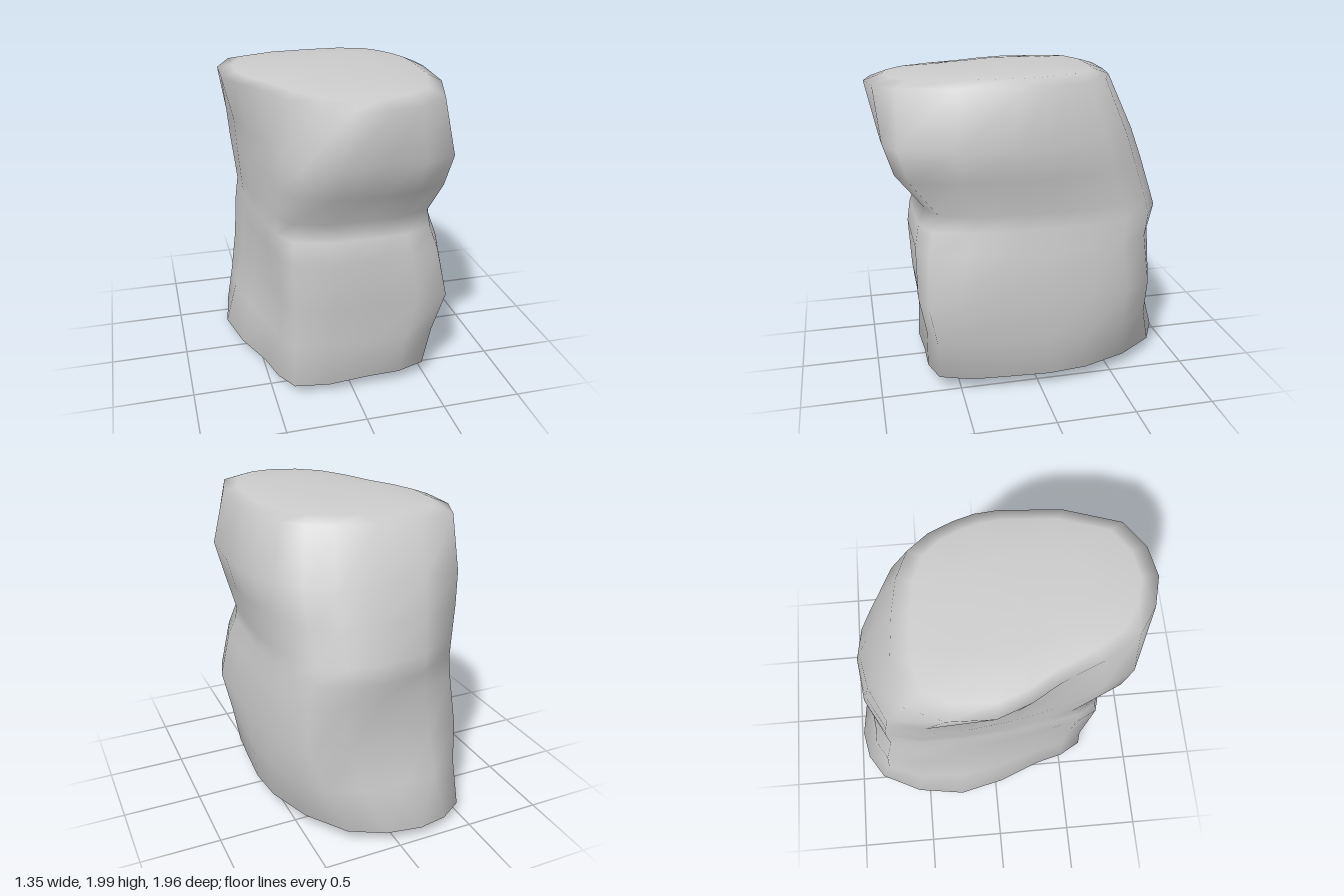
import * as THREE from 'three';

// Control points [x, z] of the outlines, anticlockwise from the front
const FOOT = [[.1, .7], [.5, .65], [.6, .2], [.59, -.3], [.3, -.84],
  [-.15, -.98], [-.5, -.84], [-.68, -.25], [-.5, .33], [-.37, .67]];
const BELLY = [[.12, .74], [.6, .71], [.65, .3], [.62, -.35], [.5, -.74],
  [0, -.82], [-.52, -.75], [-.56, -.25], [-.46, .35], [-.38, .68]];
const WAIST = [[.1, .7], [.48, .62], [.57, .1], [.56, -.35], [.45, -.73],
  [.07, -.87], [-.47, -.7], [-.54, -.2], [-.48, .35], [-.38, .64]];
const CHEST = [[.1, .92], [.53, .84], [.67, .15], [.62, -.22], [.45, -.57],
  [.05, -.7], [-.55, -.64], [-.6, -.15], [-.48, .4], [-.36, .84]];
const CROWN = [[.1, .98], [.46, .82], [.6, .1], [.55, -.18], [.38, -.46],
  [0, -.57], [-.55, -.53], [-.66, -.03], [-.48, .36], [-.25, .82]];
const OUTLINES = [FOOT, BELLY, WAIST, CHEST, CROWN];
const HEIGHTS = [.08, .65, 1.1, 1.6, 1.93];

// Levels: y, xMin, xMax, zMin, zMax
const LEVELS = [
  [.08, -.68, .6, -.98, .7],
  [.35, -.61, .62, -.87, .69],
  [.62, -.56, .65, -.82, .74],
  [.94, -.55, .61, -.82, .74],
  [1.08, -.53, .58, -.87, .72],
  [1.18, -.54, .58, -.84, .68],
  [1.4, -.57, .62, -.77, .85],
  [1.6, -.59, .67, -.71, .91],
  [1.93, -.66, .6, -.57, .98],
];
const SIDES = 20;

// Blend the two nearest outlines, round the result and fit it to the level's bounds
function makeRing([y, x0, x1, z0, z1]) {
  const upper = Math.max(1, HEIGHTS.findIndex(h => h >= y));
  const t = (y - HEIGHTS[upper - 1]) / (HEIGHTS[upper] - HEIGHTS[upper - 1]);
  const blended = OUTLINES[upper - 1].map(([x, z], i) => new THREE.Vector3(
    THREE.MathUtils.lerp(x, OUTLINES[upper][i][0], t), y, THREE.MathUtils.lerp(z, OUTLINES[upper][i][1], t)));
  const ring = new THREE.CatmullRomCurve3(blended, true).getPoints(SIDES).slice(0, SIDES);
  const box = new THREE.Box3().setFromPoints(ring);
  return ring.map(p => new THREE.Vector3(
    THREE.MathUtils.mapLinear(p.x, box.min.x, box.max.x, x0, x1), y,
    THREE.MathUtils.mapLinear(p.z, box.min.z, box.max.z, z0, z1)));
}

// Shrink a rim toward its centre to make a gently tilted cap ring
const capRing = (rim, scale, y, cx, cz) => rim.map(p => {
  const x = cx + (p.x - cx) * scale;
  return new THREE.Vector3(x, y + x * .03, cz + (p.z - cz) * scale);
});

function buildBoulder() {
  const walls = LEVELS.map(makeRing);
  const bottom = walls[0], top = walls[walls.length - 1];
  // the rims are slightly uneven
  bottom.forEach(p => { p.y += p.x * .03; });
  top.forEach(p => { p.y += p.x * .02; });
  const rings = [
    capRing(bottom, .5, .015, -.04, -.05),
    capRing(bottom, .88, .035, -.04, -.05),
    ...walls,
    capRing(top, .86, 1.965, -.02, .2),
    capRing(top, .5, 1.985, -.02, .2),
  ];

  // skin the rings
  const points = rings.flat(), index = [];
  for (let i = 0; i < rings.length - 1; i++) {
    for (let j = 0; j < SIDES; j++) {
      const a = i * SIDES + j, b = i * SIDES + (j + 1) % SIDES;
      index.push(a, b, b + SIDES, a, b + SIDES, a + SIDES);
    }
  }
  // close both ends with fans
  const low = points.push(new THREE.Vector3(-.04, .01, -.05)) - 1;
  const high = points.push(new THREE.Vector3(-.02, 1.99, .2)) - 1;
  const last = (rings.length - 1) * SIDES;
  for (let j = 0; j < SIDES; j++) {
    const k = (j + 1) % SIDES;
    index.push(low, k, j, high, last + j, last + k);
  }
  const geometry = new THREE.BufferGeometry().setFromPoints(points);
  geometry.setIndex(index);
  geometry.computeVertexNormals();
  return geometry;
}

export function createModel() {
  const group = new THREE.Group();
  group.name = 'rock';
  const boulder = new THREE.Mesh(buildBoulder(), new THREE.MeshStandardMaterial({ color: 0xcccccc }));
  boulder.name = 'boulder';
  group.add(boulder);
  return group;
}
